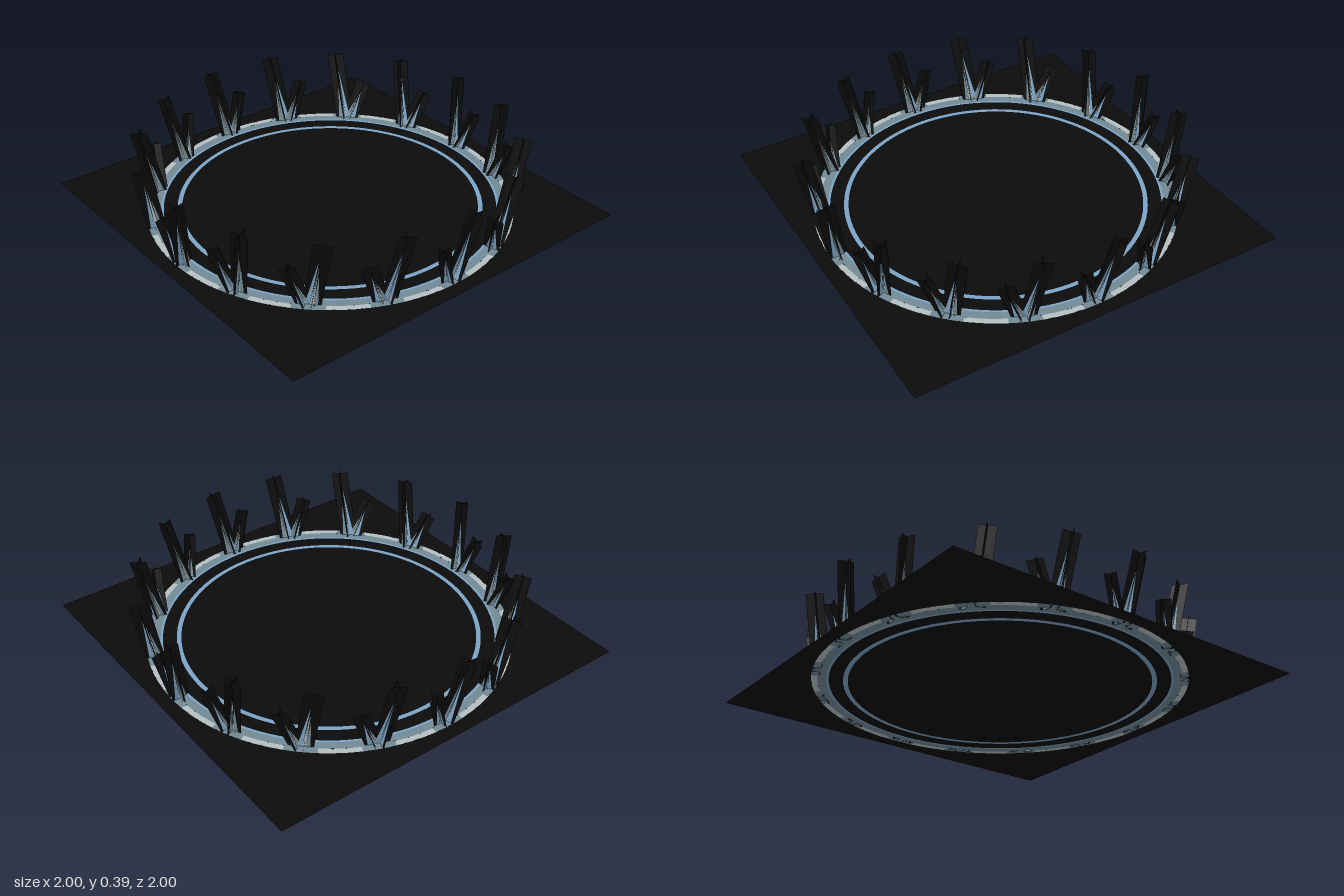
import * as THREE from 'three';

function material(name, color) {
  const m = new THREE.MeshStandardMaterial({ color, side: THREE.DoubleSide });
  m.name = name;
  return m;
}

export function createModel() {
  const black = material('black', 0x0b0b0b);
  const blue = material('blue', 0x7ba3c6);
  const steel = material('steel', 0x718a96);
  const pale = material('pale grey', 0xb4bfc2);
  const group = new THREE.Group();
  group.name = 'spikeCircle';
  const COUNT = 16, STEP = Math.PI * 2 / COUNT, FLOOR = 0.017;

  function add(parent, name, geometry, mat) {
    const mesh = new THREE.Mesh(geometry, mat);
    mesh.name = name;
    parent.add(mesh);
    return mesh;
  }

  // Flat floor: square with a round opening, filled by flush rings
  const floor = new THREE.Group();
  floor.name = 'floor';
  floor.rotation.x = -Math.PI / 2;
  floor.position.y = FLOOR;
  group.add(floor);
  const square = new THREE.Shape([[-1, -1], [1, -1], [1, 1], [-1, 1]].map(p => new THREE.Vector2(...p)));
  square.holes.push(new THREE.Path().absarc(0, 0, 0.93, 0, Math.PI * 2, true));
  add(floor, 'floorSquare', new THREE.ShapeGeometry(square, 48), black);
  add(floor, 'floorDisc', new THREE.CircleGeometry(0.752, 96), black);
  const ring = (name, r0, r1, mat, start = 0, length = Math.PI * 2, segments = 96) =>
    add(floor, name, new THREE.RingGeometry(r0, r1, segments, 1, start, length), mat);
  ring('innerLine', 0.752, 0.775, blue);
  ring('darkBand', 0.775, 0.845, black);
  ring('bandEdge', 0.845, 0.857, blue);
  ring('outerBand', 0.857, 0.9, steel);
  // Rim alternates steel near the spikes and pale in the gaps
  for (let i = 0; i < COUNT; i++) {
    ring('rimSteel', 0.9, 0.93, steel, (i - 0.22) * STEP, STEP * 0.44, 3);
    ring('rimPale', 0.9, 0.93, pale, (i + 0.22) * STEP, STEP * 0.56, 3);
  }

  // Tapering painted streaks: [left, right, peak x, peak height] as fractions
  const streaks = [
    ['blueStreak', blue, -0.36, -0.1, -0.04, 0.75],
    ['paleStreak', pale, -0.1, 0.1, 0.02, 0.65],
    ['steelStreak', steel, 0.1, 0.34, 0.1, 0.5],
  ];

  // Spike of two crossed upright blades, each streaked on both sides
  function makeSpike(name, width, length) {
    const spike = new THREE.Group();
    spike.name = name;
    for (const turn of [0, Math.PI / 2]) {
      const blade = new THREE.Group();
      blade.name = 'blade';
      blade.rotation.y = turn;
      add(blade, 'bladePlane', new THREE.PlaneGeometry(width, length).translate(0, length / 2, 0), black);
      for (const [label, mat, left, right, peakX, peakY] of streaks) {
        const shape = new THREE.Shape([
          new THREE.Vector2(left * width, 0),
          new THREE.Vector2(right * width, 0),
          new THREE.Vector2(peakX * width, peakY * length),
        ]);
        const geometry = new THREE.ShapeGeometry(shape);
        for (const z of [-0.002, 0.002]) add(blade, label, geometry, mat).position.z = z;
      }
      spike.add(blade);
    }
    return spike;
  }

  // Each cluster: a tall and a short spike, leaning apart and outward
  for (let i = 0; i < COUNT; i++) {
    const cluster = new THREE.Group();
    cluster.name = 'spikeCluster';
    cluster.rotation.y = i * STEP;
    const tall = makeSpike('tallSpike', 0.088, 0.375);
    tall.position.set(0.012, FLOOR, 0.89);
    tall.rotation.set(0.17, 0, -0.16);
    const short = makeSpike('shortSpike', 0.08, 0.23);
    short.position.set(-0.02, FLOOR, 0.89);
    short.rotation.set(0.17, 0, 0.33);
    cluster.add(tall, short);
    group.add(cluster);
  }
  return group;
}
